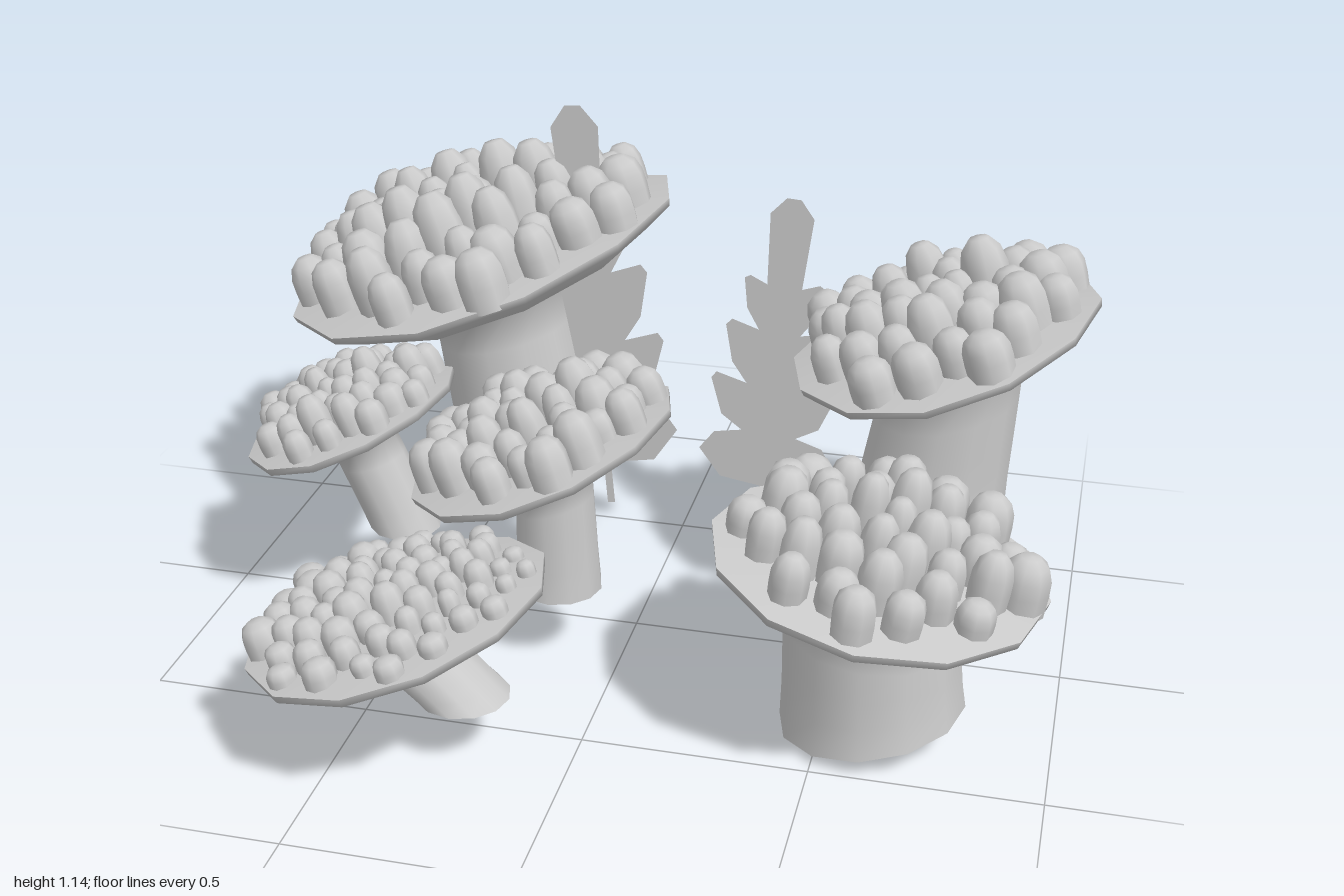
import * as THREE from 'three';

const SIDES = 12;
const grey = new THREE.MeshStandardMaterial({ color: 0xcccccc });
const greyThin = new THREE.MeshStandardMaterial({ color: 0xcccccc, side: THREE.DoubleSide });

function seeded(seed) {
  let s = seed;
  return () => (s = (s * 16807) % 2147483647) / 2147483647;
}

// Skin over rings { x, y, z, r, a, sag }, each leaning by angle a around z, front and back lowered by sag
function loft(rings) {
  const pos = [], idx = [];
  for (const { x, y, z, r, a, sag } of rings) {
    for (let j = 0; j < SIDES; j++) {
      const t = (j / SIDES) * Math.PI * 2, c = r * Math.cos(t), s = Math.sin(t);
      pos.push(x + c * Math.cos(a), y + c * Math.sin(a) - sag * s * s, z + r * s);
    }
  }
  for (let i = 0; i < rings.length - 1; i++) {
    for (let j = 0; j < SIDES; j++) {
      const k = (j + 1) % SIDES;
      const p = i * SIDES + j, q = i * SIDES + k;
      idx.push(p, p + SIDES, q, q, p + SIDES, q + SIDES);
    }
  }
  const g = new THREE.BufferGeometry();
  g.setAttribute('position', new THREE.Float32BufferAttribute(pos, 3));
  g.setIndex(idx);
  g.computeVertexNormals();
  return g;
}

// Rounded stub, radius 1 and height 1
const polypGeometry = new THREE.LatheGeometry(
  [[0.95, -0.15], [1, 0.3], [0.98, 0.6], [0.8, 0.85], [0.42, 1], [0, 1.01]].map(p => new THREE.Vector2(...p)), 8);

function coral({ name, top, R, tilt, droop, base, rBase, baseTilt = 0, count, rPolyp, height, skew = 0, seed }) {
  const group = new THREE.Group();
  group.name = name;
  const [cx, cy, cz] = top, [bx, by, bz] = base;
  const depth = 0.26 * R, dome = 0.05 * R;
  // ring on the cap axis, d above the rim plane
  const capRing = (d, r) => ({
    x: cx - Math.sin(tilt) * d, y: cy + Math.cos(tilt) * d, z: cz, r, a: tilt, sag: droop * (r / R) ** 2,
  });
  const join = capRing(-depth, rBase * 0.92);

  // Stalk and flaring underside
  const rings = [];
  for (let i = 0; i <= 4; i++) {
    const t = i / 4, mix = THREE.MathUtils.lerp;
    rings.push({
      x: mix(bx, join.x, t), y: mix(by, join.y, t), z: mix(bz, join.z, t),
      r: rBase * (1 - 0.08 * Math.sqrt(t)), a: mix(baseTilt, tilt, t), sag: join.sag * t,
    });
  }
  rings.push(capRing(-depth * 0.82, rBase * 0.4 + R * 0.35), capRing(-depth * 0.5, R * 0.83),
    capRing(-0.018, R * 0.99), capRing(0, R));
  const stalk = new THREE.Mesh(loft(rings), greyThin);
  stalk.name = 'stalkAndCup';

  // Slightly domed plate
  const plate = new THREE.Mesh(
    loft([1, 0.75, 0.4, 0].map(q => capRing(dome * (1 - q * q), R * q))), grey);
  plate.name = 'plate';
  group.add(stalk, plate);

  // Polyps in a loose spiral, taller towards the middle
  const rand = seeded(seed);
  const polyps = new THREE.Group();
  polyps.name = 'polyps';
  polyps.position.set(cx, cy, cz);
  polyps.rotation.z = tilt;
  for (let i = 0; i < count; i++) {
    const q = Math.sqrt((i + 0.5) / count);
    const angle = i * 2.39996 + seed;
    const d = q * (R - rPolyp * 1.2);
    const x = d * Math.cos(angle), z = d * Math.sin(angle);
    const size = (0.85 + rand() * 0.3) * (1 - skew * x / R);
    const polyp = new THREE.Mesh(polypGeometry, grey);
    polyp.name = 'polyp';
    polyp.position.set(x, dome * (1 - q * q) - droop * (z / R) ** 2, z);
    polyp.rotation.set((rand() - 0.5) * 0.12, rand() * 6, (rand() - 0.5) * 0.12);
    polyp.scale.set(rPolyp * size, height * size * (1.25 - 0.45 * q * q) * (0.8 + rand() * 0.4), rPolyp * size);
    polyps.add(polyp);
  }
  group.add(polyps);
  return group;
}

// Flat frond with upswept lobes; half outline mirrored about the spine
function frond(name, x, y, z, height, width, lean) {
  const half = [[0.05, 0], [0.05, 0.11], [0.65, 0.12], [1, 0.2], [0.8, 0.26], [0.4, 0.28], [0.72, 0.32],
    [0.92, 0.43], [0.85, 0.45], [0.4, 0.43], [0.64, 0.49], [0.78, 0.6], [0.7, 0.62], [0.3, 0.6],
    [0.5, 0.66], [0.58, 0.75], [0.5, 0.76], [0.25, 0.74], [0.31, 0.95], [0.1, 1]];
  const outline = [...half, ...[...half].reverse().map(([u, v]) => [-u, v])];
  const shape = new THREE.Shape(outline.map(([u, v]) => new THREE.Vector2(u * width / 2, v * height)));
  const mesh = new THREE.Mesh(new THREE.ShapeGeometry(shape), greyThin);
  mesh.name = name;
  mesh.position.set(x, y, z);
  mesh.rotation.z = lean;
  return mesh;
}

export function createModel() {
  const model = new THREE.Group();
  model.name = 'coralCluster';
  const corals = [
    { name: 'largeBackCoral', top: [-0.5, 0.77, -0.44], R: 0.497, tilt: 0.31, droop: 0.04, base: [-0.39, 0.25, -0.445],
      rBase: 0.187, count: 66, rPolyp: 0.053, height: 0.135, seed: 11 },
    { name: 'leftBackCoral', top: [0.66, 0.72, -0.28], R: 0.363, tilt: 0.305, droop: 0.045, base: [0.645, 0.245, -0.28],
      rBase: 0.183, count: 42, rPolyp: 0.05, height: 0.11, seed: 23 },
    { name: 'leftFrontCoral', top: [0.605, 0.42, 0.295], R: 0.368, tilt: -0.137, droop: 0.012, base: [0.605, 0.04, 0.29],
      rBase: 0.208, baseTilt: 0.19, count: 38, rPolyp: 0.047, height: 0.11, seed: 37 },
    { name: 'middleCoral', top: [-0.18, 0.55, 0.16], R: 0.314, tilt: 0.35, droop: 0.025, base: [-0.145, 0.18, 0.155],
      rBase: 0.1, count: 44, rPolyp: 0.043, height: 0.095, seed: 41 },
    { name: 'rightCoral', top: [-0.695, 0.49, 0], R: 0.262, tilt: 0.365, droop: 0.02, base: [-0.572, 0.2, 0],
      rBase: 0.085, count: 42, rPolyp: 0.035, height: 0.08, seed: 59 },
    { name: 'lowFrontCoral', top: [-0.378, 0.335, 0.593], R: 0.337, tilt: 0.291, droop: 0.015, base: [-0.235, 0.145, 0.592],
      rBase: 0.102, count: 64, rPolyp: 0.032, height: 0.056, skew: 0.3, seed: 67 },
  ];
  for (const c of corals) model.add(coral(c));
  model.add(frond('leftFrond', 0.215, 0.09, -0.42, 0.865, 0.34, -0.075));
  model.add(frond('rightFrond', -0.17, 0.09, -0.42, 1.055, 0.38, 0.085));
  return model;
}
